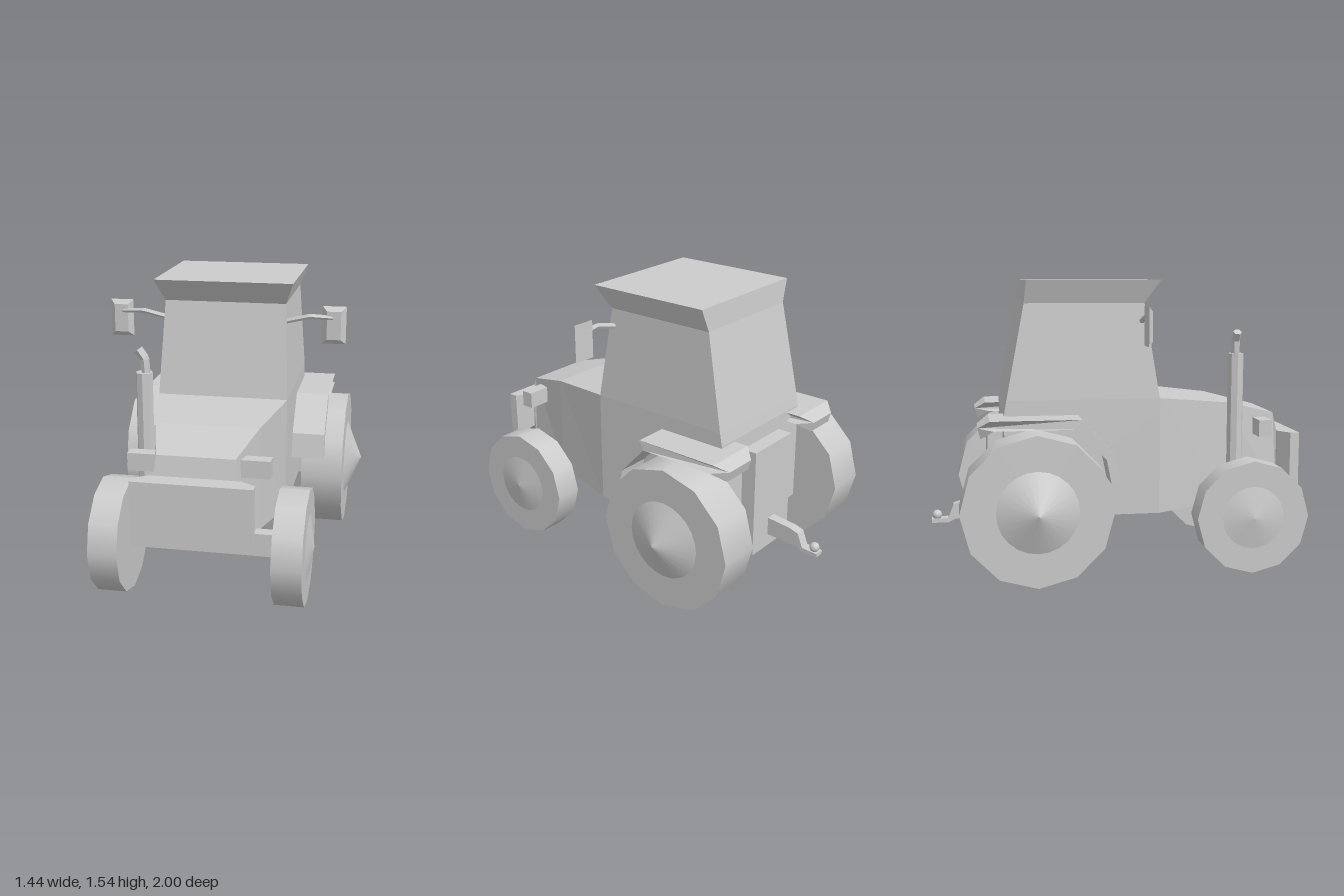
import * as THREE from 'three';

const grey = new THREE.MeshStandardMaterial({ color: 0xcccccc, side: THREE.DoubleSide });
const flat = new THREE.MeshStandardMaterial({ color: 0xcccccc, flatShading: true, side: THREE.DoubleSide });

// Skin a list of equal-length rings (counter-clockwise about the loft direction) and cap both ends
function loft(rings) {
  const pos = [], n = rings[0].length;
  const tri = (a, b, c) => pos.push(...a, ...b, ...c);
  for (let i = 0; i < rings.length - 1; i++) {
    for (let j = 0; j < n; j++) {
      const k = (j + 1) % n, [p, q] = [rings[i], rings[i + 1]];
      tri(p[j], p[k], q[k]);
      tri(p[j], q[k], q[j]);
    }
  }
  const first = rings[0], last = rings[rings.length - 1];
  for (let j = 1; j < n - 1; j++) {
    tri(first[0], first[j + 1], first[j]);
    tri(last[0], last[j], last[j + 1]);
  }
  const g = new THREE.BufferGeometry();
  g.setAttribute('position', new THREE.Float32BufferAttribute(pos, 3));
  g.computeVertexNormals();
  return g;
}

// Ring in a z plane: bottom and top height, bottom and top half width
const zRing = (z, y0, y1, w0, w1) => [[w0, y0, z], [w1, y1, z], [-w1, y1, z], [-w0, y0, z]];
// Ring in a y plane: front and back z, half width
const yRing = (y, zf, zb, w) => [[w, y, zf], [w, y, zb], [-w, y, zb], [-w, y, zf]];

// Extrude a side profile of [z, y] points across x, centred on x = 0
function sideExtrude(points, width) {
  const shape = new THREE.Shape(points.map(([z, y]) => new THREE.Vector2(-z, y)));
  const g = new THREE.ExtrudeGeometry(shape, { depth: width, bevelEnabled: false });
  return g.translate(0, 0, -width / 2).rotateY(Math.PI / 2);
}

// Pipe with straight runs through a few points
function pipe(points, radius, sides) {
  const path = new THREE.CurvePath();
  const v = points.map(p => new THREE.Vector3(...p));
  for (let i = 0; i < v.length - 1; i++) path.add(new THREE.LineCurve3(v[i], v[i + 1]));
  const g = new THREE.Group();
  const tube = new THREE.TubeGeometry(path, 16, radius, sides);
  g.add(new THREE.Mesh(tube, flat));
  // close both ends
  [0, 1].forEach(t => {
    const cap = new THREE.Mesh(new THREE.CircleGeometry(radius, sides), flat);
    cap.position.copy(path.getPointAt(t));
    cap.quaternion.setFromUnitVectors(new THREE.Vector3(0, 0, 1), path.getTangentAt(t).multiplyScalar(t ? 1 : -1));
    g.add(cap);
  });
  return g;
}

export function createModel() {
  const model = new THREE.Group();
  const add = (name, object, x = 0, y = 0, z = 0, mat = flat) => {
    const o = object.isObject3D ? object : new THREE.Mesh(object, mat);
    o.name = name;
    o.position.set(x, y, z);
    model.add(o);
    return o;
  };
  const box = (w, h, d) => new THREE.BoxGeometry(w, h, d);

  // Tapered hood
  add('hood', loft([
    zRing(0.21, 0.30, 0.92, 0.35, 0.35),
    zRing(0.60, 0.34, 0.88, 0.27, 0.265),
    zRing(0.88, 0.39, 0.81, 0.215, 0.195),
    zRing(0.90, 0.42, 0.71, 0.21, 0.205),
  ]));

  // Cab with flared roof
  add('cab', loft([
    yRing(0.30, 0.21, -0.61, 0.35),
    yRing(0.85, 0.21, -0.61, 0.35),
    yRing(0.92, 0.21, -0.597, 0.35),
    yRing(1.42, 0.13, -0.50, 0.325),
    yRing(1.54, 0.21, -0.49, 0.37),
  ]));

  // Front ballast block, narrower towards the hood and with a rising underside
  add('frontWeight', loft([
    zRing(0.90, 0.50, 0.71, 0.225, 0.225),
    zRing(0.95, 0.455, 0.71, 0.30, 0.30),
    zRing(1.00, 0.41, 0.71, 0.30, 0.30),
  ]));

  // Axles
  add('frontAxle', box(0.80, 0.12, 0.07), 0, 0.30, 0.675);
  add('rearAxle', box(0.84, 0.15, 0.15), 0, 0.375, -0.46);

  // Rear gearbox and towing hitch
  add('rearHousing', box(0.33, 0.60, 0.09), 0, 0.47, -0.647);
  add('hitch', sideExtrude([
    [-0.68, 0.34], [-0.83, 0.325], [-0.88, 0.31], [-0.91, 0.235], [-1.0, 0.23],
    [-1.0, 0.21], [-0.91, 0.21], [-0.87, 0.23], [-0.68, 0.24],
  ], 0.054));
  add('hitchBall', new THREE.SphereGeometry(0.027, 10, 8), 0, 0.25, -0.97, grey);

  // Mudguard profile
  const guard = [
    [-0.03, 0.515], [-0.055, 0.65], [-0.225, 0.84], [-0.69, 0.84], [-0.75, 0.80], [-0.735, 0.745],
    [-0.67, 0.79], [-0.25, 0.79], [-0.10, 0.63], [-0.075, 0.505],
  ];

  for (const s of [1, -1]) {
    const side = s > 0 ? 'left' : 'right';

    // Wheels with conical hubs
    const wheels = [
      ['FrontWheel', 0.30, 0.38, 0.53, 0.68, 0.165, 0.03],
      ['RearWheel', 0.39, 0.40, 0.63, -0.46, 0.21, 0.09],
    ];
    for (const [name, r, x0, x1, z, hubR, hubH] of wheels) {
      const wheel = new THREE.Group();
      const tyre = new THREE.Mesh(new THREE.CylinderGeometry(r, r, x1 - x0, 12).rotateZ(-s * Math.PI / 2), grey);
      tyre.name = 'tyre';
      tyre.position.x = s * (x0 + x1) / 2;
      const hub = new THREE.Mesh(new THREE.ConeGeometry(hubR, hubH, 24, 1, true).rotateZ(-s * Math.PI / 2), grey);
      hub.name = 'hub';
      hub.position.x = s * (x1 + hubH / 2);
      wheel.add(tyre, hub);
      add(side + name, wheel, 0, r, z);
    }

    // Mudguard, its tail corners drawn in
    const g = sideExtrude(guard, 0.29), p = g.attributes.position;
    for (let i = 0; i < p.count; i++) if (p.getZ(i) < -0.72) p.setX(i, p.getX(i) * 0.62);
    g.computeVertexNormals();
    add(side + 'Mudguard', g, s * 0.385);

    // Headlight
    add(side + 'Headlight', box(0.17, 0.09, 0.07), s * 0.27, 0.745, 0.79);

    // Mirror and its arm
    add(side + 'MirrorArm', pipe([
      [s * 0.32, 1.325, 0.115], [s * 0.45, 1.357, 0.12], [s * 0.57, 1.35, 0.108],
    ], 0.014, 6));
    add(side + 'Mirror', loft([
      zRing(0.095, -0.10, 0.10, 0.063, 0.063),
      zRing(0.118, -0.075, 0.075, 0.037, 0.037),
    ]), s * 0.577, 1.31, 0);
  }

  // Exhaust: elbow into the engine, thick stack and bent thin outlet
  add('exhaustElbow', pipe([[-0.312, 0.48, 0.63], [-0.31, 0.43, 0.63], [-0.20, 0.40, 0.63]], 0.035, 8));
  add('exhaustStack', new THREE.CylinderGeometry(0.043, 0.043, 0.71, 8), -0.312, 0.795, 0.63);
  add('exhaustOutlet', pipe([[-0.303, 1.14, 0.63], [-0.308, 1.22, 0.63], [-0.34, 1.265, 0.63]], 0.023, 6));

  return model;
}
